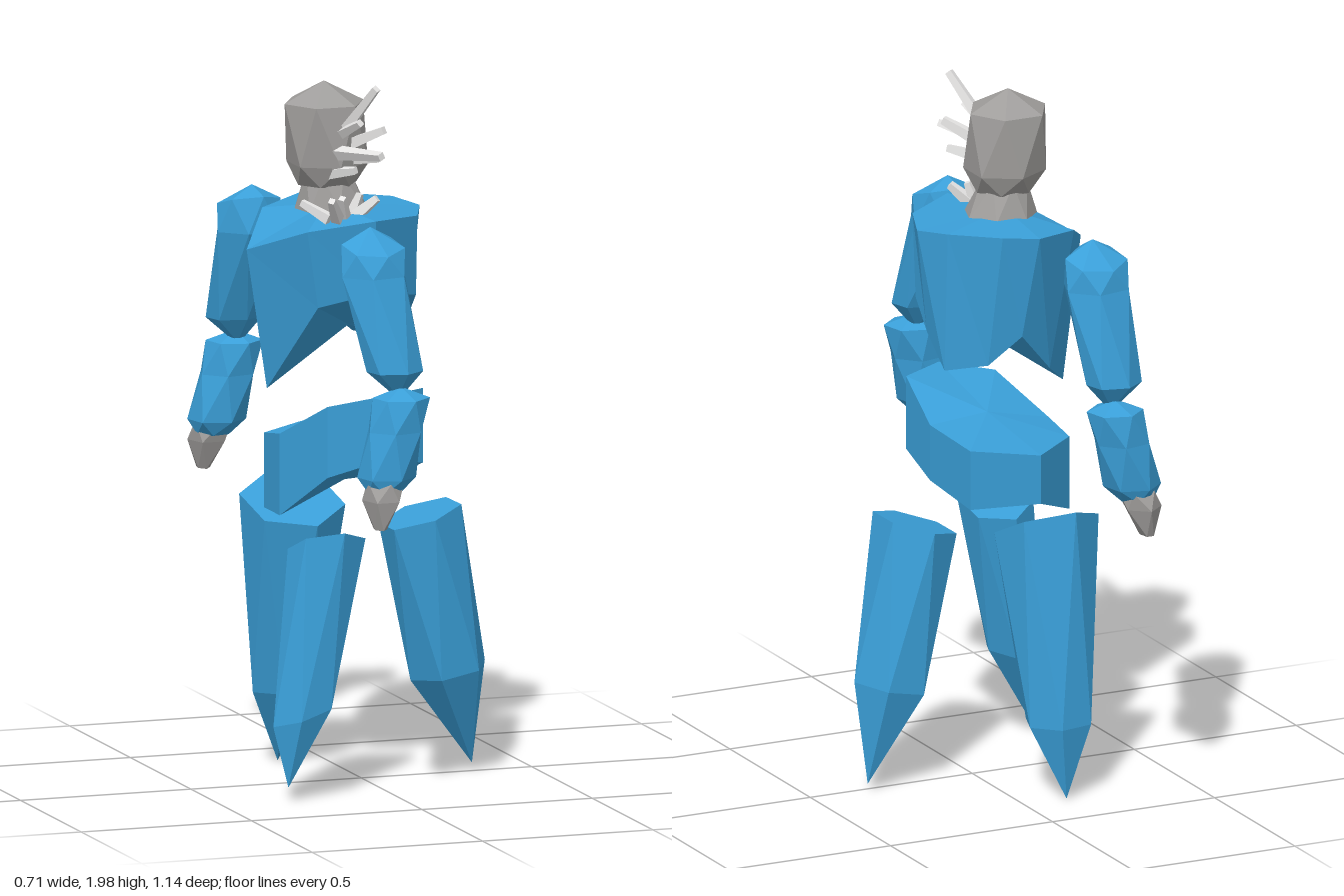
import * as THREE from 'three';

const mat = (name, color) => {
  const m = new THREE.MeshStandardMaterial({ color });
  m.name = name;
  return m;
};

// Faceted solid through rings of points, listed from top to bottom
function loft(rings, topCentre) {
  const n = rings[0].length, pos = [];
  const tri = (...p) => p.forEach(v => pos.push(...v));
  const mean = r => [0, 1, 2].map(k => r.reduce((s, p) => s + p[k], 0) / n);
  const first = rings[0], last = rings[rings.length - 1];
  const top = topCentre || mean(first), bottom = mean(last);
  for (let i = 0; i < n; i++) {
    const j = (i + 1) % n;
    tri(top, first[j], first[i]);
    for (let k = 0; k + 1 < rings.length; k++) {
      const a = rings[k], b = rings[k + 1];
      tri(a[i], a[j], b[i]);
      tri(a[j], b[j], b[i]);
    }
    tri(bottom, last[i], last[j]);
  }
  const g = new THREE.BufferGeometry();
  g.setAttribute('position', new THREE.Float32BufferAttribute(pos, 3));
  g.computeVertexNormals();
  return g;
}

// Ring around (x, y, z) with radii rx, rz; tx and tz tilt it
function ring([x, y, z, rx, rz, tx = 0, tz = 0], n, phase) {
  return Array.from({ length: n }, (_, i) => {
    const a = phase + i / n * Math.PI * 2;
    const dx = Math.cos(a) * rx, dz = Math.sin(a) * rz;
    return [x + dx, y + tx * dx + tz * dz, z + dz];
  });
}
// Each ring is turned half a step, which gives long triangular facets
const crystal = (rows, n = 6, phase = 0.3, topCentre) =>
  loft(rows.map((r, k) => ring(r, n, phase + k * Math.PI / n)), topCentre);

export function createModel() {
  const blue = mat('blue crystal', 0x3a9fd8);
  const grey = mat('stone grey', 0xa09e9c);
  const pale = mat('pale grey', 0xe6e5e4);
  const model = new THREE.Group();
  model.name = 'crystalFigure';
  const add = (name, geometry, material, parent = model) => {
    const mesh = new THREE.Mesh(geometry, material);
    mesh.name = name;
    parent.add(mesh);
  };

  // Torso: shallow shoulder lid, underside cut to a low point at -x
  const shoulders = [[-0.34, 1.52, 0.01], [-0.23, 1.6, -0.17], [-0.08, 1.62, -0.26],
    [0.01, 1.62, -0.21], [0.13, 1.62, -0.11], [0.175, 1.61, -0.01],
    [0.115, 1.61, 0.14], [-0.04, 1.62, 0.235], [-0.22, 1.59, 0.175]];
  const ribs = [[-0.27, 1.12, -0.02], [-0.17, 1.2, -0.14], [-0.06, 1.32, -0.19],
    [0.03, 1.24, -0.16], [0.13, 1.22, -0.09], [0.14, 1.31, 0],
    [0.125, 1.38, 0.1], [-0.03, 1.41, 0.2], [-0.18, 1.37, 0.15]];
  add('torso', loft([shoulders, ribs], [-0.1, 1.635, 0]), blue);

  // Pelvis: x, z, top height, bottom height
  const hips = [[0.12, 0.17, 1.13, 0.92], [-0.02, 0.25, 1.13, 0.95], [-0.17, 0.2, 1.1, 0.9],
    [-0.25, 0.03, 1.0, 0.77], [-0.25, -0.1, 0.98, 0.77], [-0.1, -0.225, 0.98, 0.84],
    [0.1, -0.19, 1.01, 0.84], [0.12, 0.02, 1.03, 0.87]];
  add('pelvis', loft([hips.map(h => [h[0], h[2], h[1]]), hips.map(h => [h[0], h[3], h[1]])]), blue);

  // Three pointed legs
  add('frontLeg', crystal([[-0.18, 0.72, 0.22, 0.11, 0.085, 0, 0.5],
    [-0.26, 0.25, 0.25, 0.095, 0.073, 0.3], [-0.31, 0.05, 0.27, 0, 0]]), blue);
  add('backLeg', crystal([[-0.135, 0.77, -0.19, 0.15, 0.12, 0, -0.5],
    [-0.13, 0.22, -0.275, 0.1, 0.09], [-0.13, 0.01, -0.325, 0, 0]]), blue);
  add('sideLeg', crystal([[0.16, 0.75, 0.035, 0.115, 0.12, 0.3],
    [0.25, 0.3, 0.01, 0.11, 0.115, 0.2], [0.33, 0.03, -0.015, 0, 0]], 6, 0.5), blue);

  // Arms: s is the side along z, the x offsets differ per joint
  for (const [name, s, shoulder, elbow, wrist] of
    [['frontArm', 1, -0.1, -0.055, -0.11], ['backArm', -1, -0.195, -0.2, -0.26]]) {
    const arm = new THREE.Group();
    arm.name = name;
    model.add(arm);
    add('upperArm', crystal([[shoulder, 1.58, s * 0.38, 0.09, 0.07, 0, -s * 0.3],
      [shoulder, 1.5, s * 0.38, 0.1, 0.088], [elbow - 0.01, 1.24, s * 0.46, 0.08, 0.063],
      [elbow, 1.17, s * 0.46, 0.01, 0.01]], 6, 0.3, [shoulder, 1.63, s * 0.355]), blue, arm);
    add('forearm', crystal([[elbow, 1.17, s * 0.485, 0.08, 0.075],
      [elbow - 0.02, 1.08, s * 0.488, 0.082, 0.08],
      [wrist + 0.01, 0.95, s * 0.49, 0.082, 0.077],
      [wrist, 0.91, s * 0.495, 0.05, 0.05]], 6, 0.3, [elbow, 1.2, s * 0.48]), blue, arm);
    add('hand', crystal([[wrist, 0.94, s * 0.5, 0.055, 0.055],
      [wrist - 0.01, 0.89, s * 0.51, 0.055, 0.062],
      [wrist - 0.02, 0.81, s * 0.52, 0.018, 0.03]], 5), grey, arm);
  }

  // Neck and head
  add('neck', crystal([[-0.1, 1.72, 0, 0.065, 0.065], [-0.085, 1.62, 0, 0.105, 0.1]], 7), grey);
  add('head', crystal([[-0.11, 1.92, 0, 0.115, 0.115], [-0.1, 1.75, 0, 0.115, 0.115],
    [-0.1, 1.69, 0, 0.085, 0.075]], 6, 0, [-0.11, 1.98, 0]), grey);

  // Bristling spikes on the face and upper chest: base, tip, radius
  const spikes = [
    [[-0.1, 1.81, 0.06], [-0.025, 1.985, 0.195], 0.022],
    [[-0.12, 1.79, 0.06], [-0.04, 1.81, 0.28], 0.023],
    [[-0.08, 1.8, 0.06], [0.01, 1.86, 0.16], 0.024],
    [[-0.1, 1.83, 0.06], [-0.07, 1.89, 0.19], 0.02],
    [[-0.06, 1.77, 0.06], [0, 1.78, 0.15], 0.022],
    [[-0.13, 1.73, 0.06], [-0.07, 1.75, 0.15], 0.022],
    [[-0.15, 1.62, 0.16], [-0.21, 1.66, 0.1], 0.02],
    [[-0.13, 1.62, 0.17], [-0.17, 1.685, 0.235], 0.02],
    [[-0.1, 1.62, 0.14], [-0.12, 1.68, 0.18], 0.02],
    [[-0.06, 1.62, 0.13], [-0.01, 1.67, 0.16], 0.022],
    [[-0.07, 1.62, 0.12], [-0.05, 1.68, 0.13], 0.02]];
  for (const [a, b, r] of spikes) {
    const from = new THREE.Vector3(...a), dir = new THREE.Vector3(...b).sub(from);
    const g = new THREE.CylinderGeometry(r * 0.6, r, dir.length(), 4).toNonIndexed();
    g.computeVertexNormals();
    g.translate(0, dir.length() / 2, 0);
    g.applyQuaternion(new THREE.Quaternion().setFromUnitVectors(
      new THREE.Vector3(0, 1, 0), dir.normalize()));
    g.translate(...a);
    add('spike', g, pale);
  }
  return model;
}
